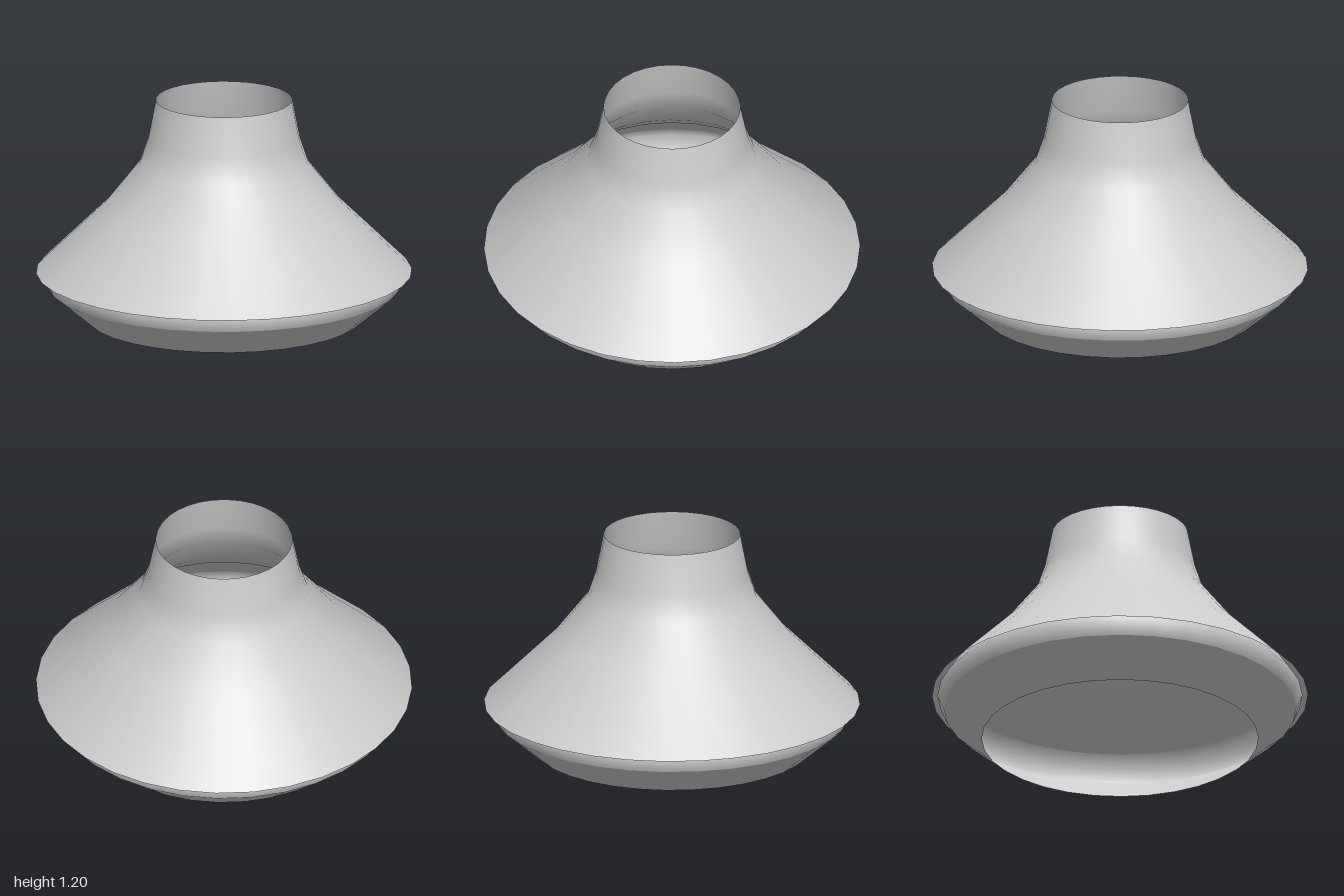
import * as THREE from 'three';

const SIDES = 32;
const material = new THREE.MeshStandardMaterial({ color: 0xcccccc, side: THREE.DoubleSide });

// Open surface of revolution from [radius, height] pairs, listed bottom to top
function turned(name, profile) {
  const points = profile.map(([r, y]) => new THREE.Vector2(r, y));
  const mesh = new THREE.Mesh(new THREE.LatheGeometry(points, SIDES), material);
  mesh.name = name;
  return mesh;
}

export function createModel() {
  const model = new THREE.Group();
  model.name = 'flaredShade';

  // Flared outer cone rising into the open neck
  model.add(turned('outerShade', [
    [1.0, 0.25], [0.63, 0.615], [0.45, 0.845], [0.405, 0.98], [0.363, 1.195],
  ]));

  // Inner bowl: sloped underside, steep rim, and a lining tucked under the cone
  const bowl = new THREE.Group();
  bowl.name = 'innerBowl';
  bowl.add(
    turned('underside', [[0.735, 0], [0.935, 0.17]]),
    turned('bowlRim', [[0.935, 0.17], [0.97, 0.25], [0.915, 0.33]]),
    turned('bowlLining', [[0.915, 0.33], [0.68, 0.56]]),
  );
  model.add(bowl);

  return model;
}
